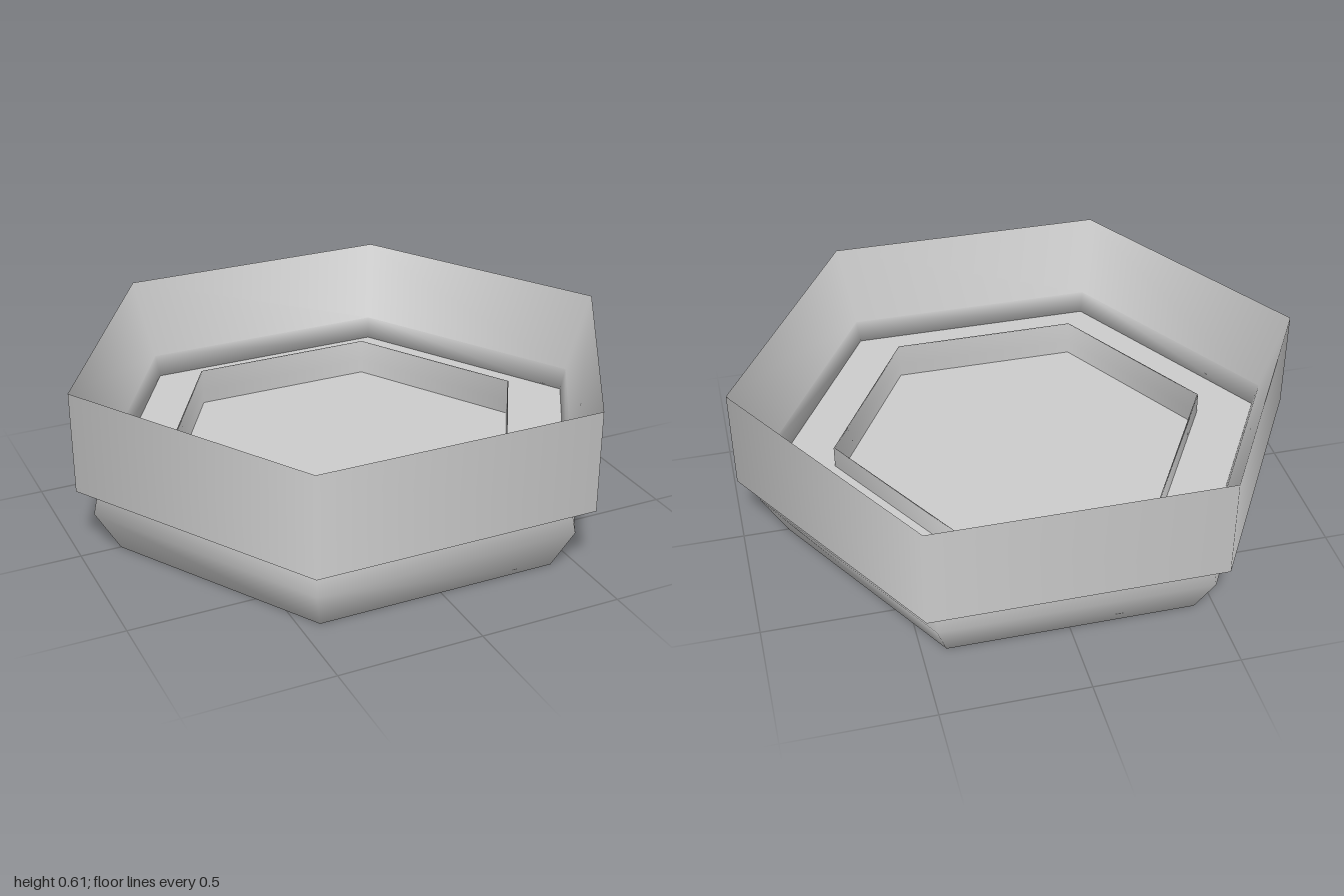
import * as THREE from 'three';

const shell = new THREE.MeshStandardMaterial({ color: 0xcccccc, side: THREE.DoubleSide });
shell.name = 'light grey';

const DEPTH = 0.98; // the hexagon is slightly narrower front to back

// Six-sided revolved skin with corners on the x axis; profile is [radius, y].
function hexSkin(name, profile) {
  const pts = profile.map(([r, y]) => new THREE.Vector2(r, y));
  const geo = new THREE.LatheGeometry(pts, 6, Math.PI / 2);
  geo.scale(1, 1, DEPTH);
  const mesh = new THREE.Mesh(geo, shell);
  mesh.name = name;
  return mesh;
}

function bar(name, w, h, d, x, y, z) {
  const mesh = new THREE.Mesh(new THREE.BoxGeometry(w, h, d), shell);
  mesh.name = name;
  mesh.position.set(x, y, z);
  return mesh;
}

export function createModel() {
  const model = new THREE.Group();
  model.name = 'hexagonal tray';

  // Tall upper collar: sharp rim, sloping inside, short step and flat underside
  const collar = new THREE.Group();
  collar.name = 'upperCollar';
  collar.add(
    hexSkin('collarWall', [[0.998, 0.25], [0.998, 0.61]]),
    hexSkin('collarSlope', [[0.998, 0.61], [0.905, 0.33]]),
    hexSkin('collarStep', [[0.905, 0.33], [0.885, 0.25], [0.998, 0.25]])
  );
  model.add(collar);

  // Lower body, in at the foot and widest at mid height
  const body = new THREE.Group();
  body.name = 'lowerBody';
  body.position.x = -0.008;
  body.add(
    hexSkin('bodyWall', [[0.66, 0], [0.85, 0], [0.935, 0.15], [0.912, 0.25]]),
    hexSkin('ledge', [[0.9, 0.252], [0.66, 0.252]]),
    hexSkin('wellLip', [[0.665, 0.252], [0.665, 0.33], [0.66, 0.33], [0.66, 0.252]]),
    hexSkin('wellWall', [[0.66, 0.252], [0.66, 0]])
  );
  model.add(body);

  // Floor plate of the well
  const floorGeo = new THREE.CylinderGeometry(0.66, 0.66, 0.02, 6, 1, false, Math.PI / 2);
  floorGeo.scale(1, 1, DEPTH);
  const floor = new THREE.Mesh(floorGeo, shell);
  floor.name = 'floor';
  floor.position.set(-0.008, 0.19, 0);
  model.add(floor);

  // Crossed grille bars under the floor, each cut to the hexagonal opening
  const grille = new THREE.Group();
  grille.name = 'grille';
  grille.position.x = -0.01;
  for (const p of [-0.465, -0.155, 0.155, 0.465]) {
    const a = Math.abs(p);
    const halfZ = Math.min(0.56, (0.66 - a) * 1.7);
    const halfX = 0.66 - a / 1.7;
    grille.add(bar('deepBar', 0.07, 0.16, halfZ * 2, p, 0.1, 0));
    grille.add(bar('crossBar', halfX * 2, 0.12, 0.07, 0, 0.12, p));
  }
  model.add(grille);

  return model;
}
